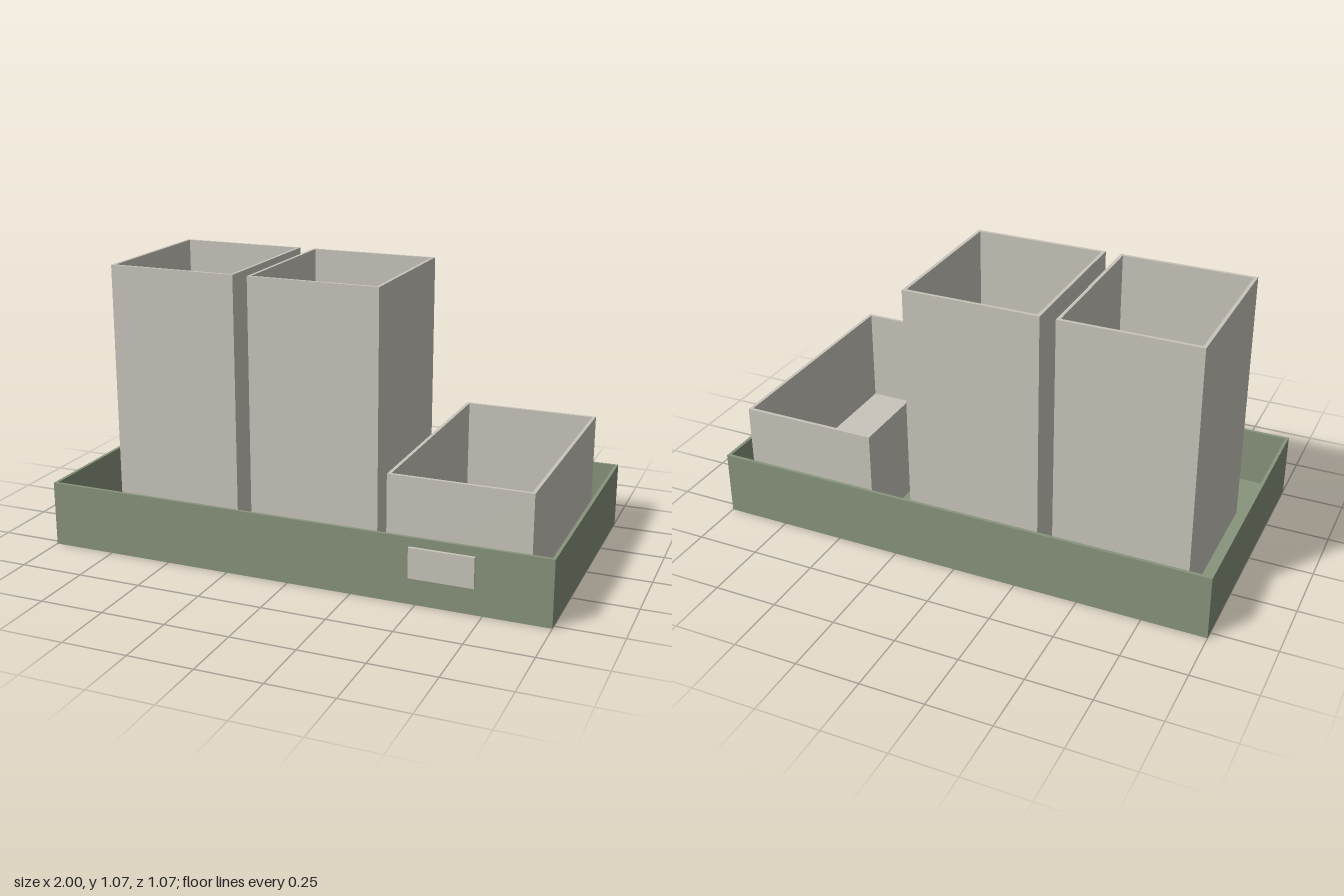
import * as THREE from 'three';

const sage = new THREE.MeshStandardMaterial({ color: 0x87947b });
sage.name = 'sage green';
const stone = new THREE.MeshStandardMaterial({ color: 0xc9c5bc });
stone.name = 'warm stone';

// Box given by its minimum and maximum on each axis
function panel(name, material, [x0, x1], [y0, y1], [z0, z1]) {
  const mesh = new THREE.Mesh(new THREE.BoxGeometry(x1 - x0, y1 - y0, z1 - z0), material);
  mesh.position.set((x0 + x1) / 2, (y0 + y1) / 2, (z0 + z1) / 2);
  mesh.name = name;
  return mesh;
}

// Open-topped container: floor, two full-depth sides, front and back between them
function openBox(name, material, [x0, x1], [y0, y1], [z0, z1], wall) {
  const group = new THREE.Group();
  group.name = name;
  const inner = [x0 + wall, x1 - wall];
  const rise = [y0 + wall, y1];
  group.add(
    panel('floor', material, [x0, x1], [y0, y0 + wall], [z0, z1]),
    panel('rightWall', material, [x0, x0 + wall], rise, [z0, z1]),
    panel('leftWall', material, [x1 - wall, x1], rise, [z0, z1]),
    panel('backWall', material, inner, rise, [z0, z0 + wall]),
    panel('frontWall', material, inner, rise, [z1 - wall, z1])
  );
  return group;
}

export function createModel() {
  const model = new THREE.Group();
  model.name = 'deskOrganiser';

  // Tray with a raised inner base
  model.add(openBox('tray', sage, [-1, 1], [0, 0.256], [-0.533, 0.522], 0.013));
  model.add(panel('innerBase', sage, [-0.935, 0.935], [0.013, 0.055], [-0.478, 0.455]));

  // Two tall bins and one low bin
  const tallBins = [[-0.888, -0.358], [-0.298, 0.235]];
  for (const span of tallBins) {
    model.add(openBox('tallBin', stone, span, [0.055, 1.072], [-0.428, 0.206], 0.013));
  }
  model.add(openBox('lowBin', stone, [0.37, 0.908], [0.055, 0.463], [-0.485, 0.472], 0.013));

  // Blank label plate on the tray front
  model.add(panel('labelPlate', stone, [0.475, 0.72], [0.105, 0.222], [0.522, 0.535]));

  return model;
}
